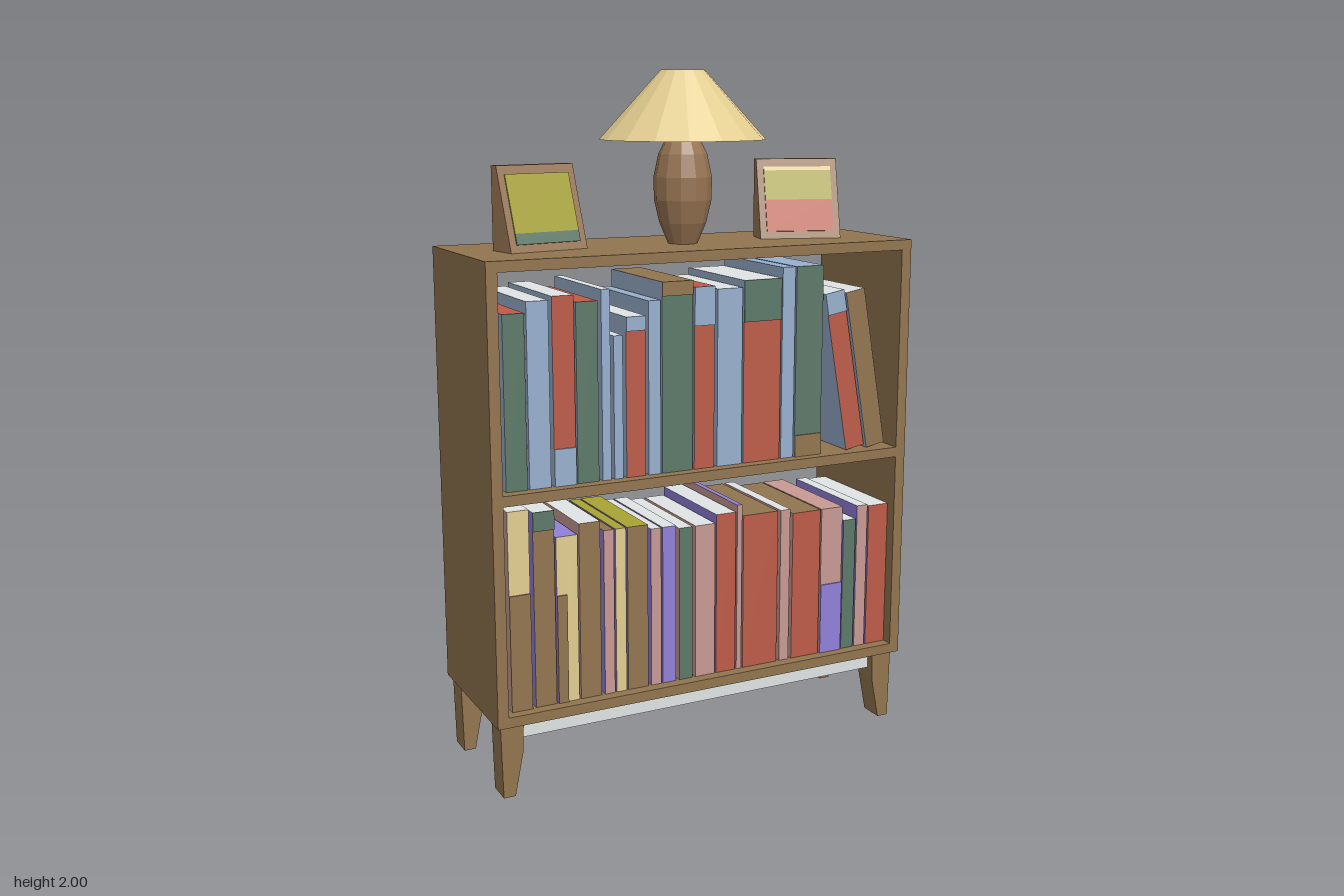
import * as THREE from 'three';

const mat = (name, color) => {
  const m = new THREE.MeshStandardMaterial({ color });
  m.name = name;
  return m;
};

export function createModel() {
  const root = new THREE.Group();
  root.name = 'bookcase';
  const M = {
    wood: mat('wood', 0x92754f), warmWood: mat('warm wood', 0x987553), white: mat('paper white', 0xe0e4e5),
    tan: mat('tan', 0xe3ce91), olive: mat('olive', 0xa8a332), green: mat('dark green', 0x5d7969),
    red: mat('brick red', 0xbd5c49), blue: mat('blue', 0x98b0cf), pink: mat('dusty pink', 0xc99a94),
    purple: mat('purple', 0x9080d8),
  };

  const add = (parent, name, geo, material, x = 0, y = 0, z = 0) => {
    const m = new THREE.Mesh(geo, material);
    m.name = name;
    m.position.set(x, y, z);
    parent.add(m);
    return m;
  };
  // box given by its limits on each axis
  const block = (parent, name, material, x0, x1, y0, y1, z0, z1) =>
    add(parent, name, new THREE.BoxGeometry(x1 - x0, y1 - y0, z1 - z0), material,
      (x0 + x1) / 2, (y0 + y1) / 2, (z0 + z1) / 2);
  const faceted = (geo) => {
    const g = geo.toNonIndexed();
    g.computeVertexNormals();
    return g;
  };
  const prism = (points, depth) => new THREE.ExtrudeGeometry(
    new THREE.Shape(points.map(([x, y]) => new THREE.Vector2(x, y))), { depth, bevelEnabled: false });

  // Case, open at front and back
  const BACK = -0.24, FRONT = 0.21, TOP = 1.512;
  const cabinet = new THREE.Group();
  cabinet.name = 'case';
  root.add(cabinet);
  for (const [name, y] of [['bottomBoard', 0.218], ['middleShelf', 0.852], ['topBoard', TOP - 0.03]])
    block(cabinet, name, M.wood, -0.632, 0.632, y, y + 0.03, BACK, FRONT);
  for (const s of [-1, 1])
    block(cabinet, 'sidePanel', M.wood, s * 0.648 - 0.016, s * 0.648 + 0.016, 0.218, TOP, BACK, FRONT);

  // Base slab and tapered legs
  block(root, 'baseSlab', M.white, -0.61, 0.61, 0.162, 0.218, -0.2, 0.165);
  for (const s of [-1, 1])
    for (const z of [0.113, -0.232]) {
      const outline = [[0.65, 0.218], [0.581, 0.218], [0.584, 0.13], [0.61, 0], [0.645, 0]];
      add(root, 'leg', prism(outline.map(([x, y]) => [s * x, y]), 0.075), M.wood, 0, 0, z);
    }

  // Books: cover colour on sides and back, own spine colour and optional band on the front
  const SPINE = 0.176;
  const book = (parent, x0, x1, y0, y1, spine, cover, top, band) => {
    const c = M[cover];
    // books get slightly deeper towards the left end of the row
    block(parent, 'book', [c, c, M[top], c, M[spine], c], x0, x1, y0, y1, -0.172 - 0.03 * x0, SPINE);
    if (band) block(parent, 'spineBand', M[band[0]], x0, x1, band[1], band[2], SPINE, SPINE + 0.004);
  };

  // Each row: left, right, top, spine, cover, page edge, [band colour, from, to]
  const upper = [
    [-0.615, -0.553, 1.37, 'green', 'blue', 'red'],
    [-0.547, -0.484, 1.40, 'blue', 'blue', 'white'],
    [-0.474, -0.410, 1.41, 'red', 'blue', 'white', ['blue', 0.885, 0.99]],
    [-0.405, -0.341, 1.39, 'green', 'blue', 'red'],
    [-0.330, -0.304, 1.42, 'blue', 'blue', 'white'],
    [-0.294, -0.267, 1.29, 'blue', 'blue', 'white'],
    [-0.257, -0.198, 1.34, 'red', 'blue', 'white', ['blue', 1.30, 1.34]],
    [-0.188, -0.151, 1.38, 'blue', 'blue', 'blue'],
    [-0.146, -0.050, 1.43, 'green', 'blue', 'wood', ['wood', 1.39, 1.43]],
    [-0.045, 0.019, 1.41, 'red', 'blue', 'red', ['blue', 1.30, 1.41]],
    [0.029, 0.109, 1.40, 'blue', 'blue', 'white'],
    [0.114, 0.236, 1.42, 'red', 'blue', 'white', ['green', 1.30, 1.42]],
    [0.241, 0.283, 1.45, 'blue', 'blue', 'blue'],
    [0.288, 0.378, 1.45, 'green', 'blue', 'blue', ['wood', 0.885, 0.95]],
  ];
  const lower = [
    [-0.615, -0.553, 0.83, 'tan', 'pink', 'white', ['wood', 0.25, 0.59]],
    [-0.542, -0.479, 0.82, 'wood', 'purple', 'white', ['green', 0.765, 0.82]],
    [-0.474, -0.410, 0.74, 'tan', 'purple', 'purple'],
    [-0.405, -0.341, 0.77, 'wood', 'pink', 'white'],
    [-0.330, -0.299, 0.74, 'pink', 'purple', 'wood'],
    [-0.294, -0.262, 0.74, 'tan', 'purple', 'olive'],
    [-0.257, -0.193, 0.74, 'wood', 'purple', 'olive'],
    [-0.183, -0.151, 0.725, 'pink', 'purple', 'white'],
    [-0.146, -0.103, 0.725, 'purple', 'purple', 'white'],
    [-0.093, -0.050, 0.715, 'green', 'pink', 'white'],
    [-0.040, 0.024, 0.715, 'pink', 'pink', 'white'],
    [0.029, 0.093, 0.74, 'red', 'purple', 'white'],
    [0.098, 0.114, 0.76, 'pink', 'pink', 'purple'],
    [0.119, 0.236, 0.725, 'red', 'pink', 'wood'],
    [0.246, 0.278, 0.725, 'pink', 'pink', 'white'],
    [0.288, 0.384, 0.71, 'red', 'pink', 'wood'],
    [0.389, 0.463, 0.71, 'pink', 'pink', 'pink', ['purple', 0.25, 0.47]],
    [0.468, 0.511, 0.665, 'green', 'purple', 'white'],
    [0.516, 0.553, 0.705, 'pink', 'purple', 'white'],
    [0.558, 0.627, 0.70, 'red', 'purple', 'white'],
  ];
  const bookRow = (name, y0, rows) => {
    const g = new THREE.Group();
    g.name = name;
    g.position.set(0.004, -0.003, 0);
    root.add(g);
    for (const [x0, x1, y1, ...rest] of rows) book(g, x0, x1, y0, y1, ...rest);
    return g;
  };
  bookRow('upperBooks', 0.885, upper);
  const lowerRow = bookRow('lowerBooks', 0.251, lower);
  // brown lower corner on one tan spine
  block(lowerRow, 'spineCorner', M.wood, -0.474, -0.444, 0.251, 0.57, SPINE, SPINE + 0.004);

  // Two books leaning to the left
  for (const [x, spine, band] of [[0.505, 'red', ['blue', 0.42, 0.485]], [0.578, 'wood']]) {
    const g = new THREE.Group();
    g.name = 'leaningBook';
    g.position.set(x, 0.889, 0);
    g.rotation.z = 0.176;
    root.add(g);
    book(g, -0.032, 0.032, 0, 0.485, spine, 'blue', 'white', band);
  }

  // Lamp
  const lamp = new THREE.Group();
  lamp.name = 'lamp';
  lamp.position.set(0.01, TOP, 0);
  root.add(lamp);
  const profile = [[0, 0], [0.043, 0], [0.068, 0.06], [0.083, 0.125], [0.084, 0.19],
    [0.07, 0.255], [0.045, 0.305], [0, 0.305]].map(([r, y]) => new THREE.Vector2(r, y));
  add(lamp, 'lampBase', faceted(new THREE.LatheGeometry(profile, 12)), M.warmWood);
  const shade = new THREE.CylinderGeometry(0.063, 0.239, 0.193, 16);
  const flatShade = faceted(shade);
  flatShade.clearGroups();
  shade.groups.forEach((g) => flatShade.addGroup(g.start, g.count, g.materialIndex));
  add(lamp, 'lampShade', flatShade, [M.tan, M.white, M.tan], 0, 0.3915, 0);

  // Wedge-shaped picture frames; strips are [colour, from, to] up the sloped face
  const W = 0.245, H = 0.232, D = 0.1, T = 0.027;
  const slope = Math.atan2(D - T, H);
  const frame = (x, z, turn, strips) => {
    const g = new THREE.Group();
    g.name = 'pictureFrame';
    g.position.set(x, TOP, z);
    g.rotation.y = turn;
    root.add(g);
    const body = prism([[-D / 2, 0], [D / 2, 0], [T - D / 2, H], [-D / 2, H]], W);
    body.rotateY(-Math.PI / 2).translate(W / 2, 0, 0);
    add(g, 'frameBody', body, M.warmWood);
    const face = new THREE.Group();
    face.name = 'picture';
    face.position.z = D / 2;
    face.rotation.x = -slope;
    g.add(face);
    for (const [color, y0, y1] of strips)
      block(face, 'pictureStrip', M[color], -0.102, 0.102, y0, y1, 0, 0.004);
  };
  frame(-0.425, -0.011, 0.175, [['green', 0.022, 0.053], ['olive', 0.053, 0.218]]);
  frame(0.401, -0.012, -0.29, [['red', 0.022, 0.118], ['olive', 0.118, 0.207], ['tan', 0.207, 0.218]]);

  return root;
}
